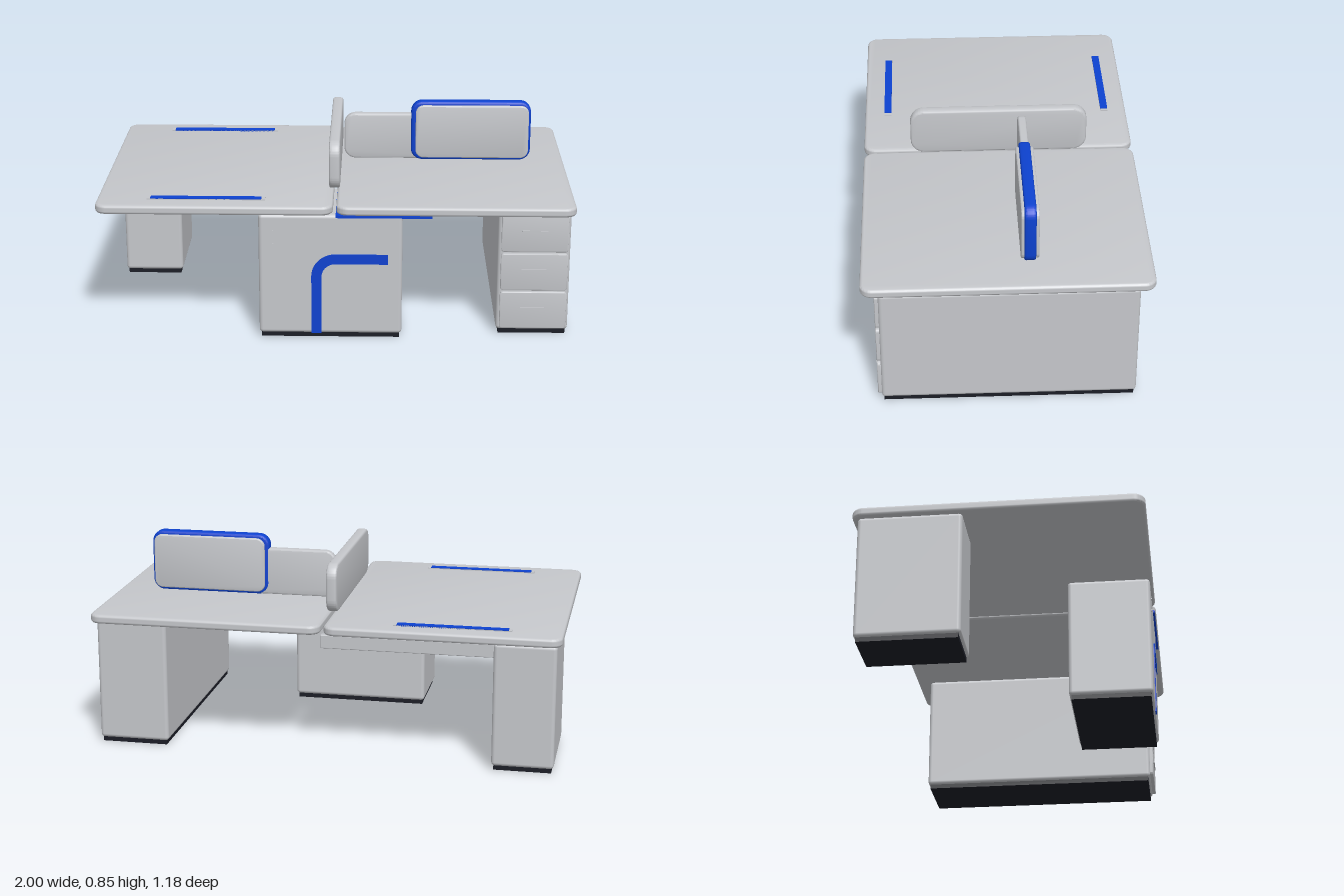
import * as THREE from 'three';
import { toCreasedNormals } from 'three/addons/utils/BufferGeometryUtils.js';
import { RoundedBoxGeometry } from 'three/addons/geometries/RoundedBoxGeometry.js';

export function createModel() {
  const desk = new THREE.Group();
  desk.name = 'twoPersonDesk';

  const material = (name, color) => {
    const m = new THREE.MeshStandardMaterial({ color });
    m.name = name;
    return m;
  };
  const gray = material('lightGray', 0xc5c7cb);
  const blue = material('accentBlue', 0x0d42d0);
  const dark = material('plinthDark', 0x1b1d26);

  const add = (name, geometry, mat) => {
    const mesh = new THREE.Mesh(geometry, mat);
    mesh.name = name;
    desk.add(mesh);
    return mesh;
  };

  // Boxes are given by their ranges in x, y and z; r rounds the edges
  const box = (name, [x0, x1], [y0, y1], [z0, z1], mat, r = 0) => {
    const size = [x1 - x0, y1 - y0, z1 - z0];
    const g = r ? new RoundedBoxGeometry(...size, 3, r) : new THREE.BoxGeometry(...size);
    g.translate((x0 + x1) / 2, (y0 + y1) / 2, (z0 + z1) / 2);
    return add(name, g, mat);
  };

  // Rounded rectangle in the xy plane, extruded along z with a soft edge
  const slabGeometry = (w, h, depth, radius, bevel) => {
    const a = w / 2 - bevel, b = h / 2 - bevel, r = radius - bevel;
    const s = new THREE.Shape();
    s.absarc(a - r, b - r, r, 0, Math.PI / 2);
    s.absarc(-a + r, b - r, r, Math.PI / 2, Math.PI);
    s.absarc(-a + r, -b + r, r, Math.PI, Math.PI * 1.5);
    s.absarc(a - r, -b + r, r, Math.PI * 1.5, Math.PI * 2);
    s.closePath();
    const g = new THREE.ExtrudeGeometry(s, {
      depth: depth - 2 * bevel, bevelEnabled: true, bevelSize: bevel,
      bevelThickness: bevel, bevelSegments: 3, curveSegments: 8,
    });
    g.translate(0, 0, bevel - depth / 2);
    return toCreasedNormals(g, 0.6);
  };

  // Table tops
  for (const [name, x0, x1] of [['rightTableTop', -1, -0.01], ['leftTableTop', 0.004, 1]]) {
    const g = slabGeometry(x1 - x0, 1.184, 0.038, 0.05, 0.012);
    g.rotateX(-Math.PI / 2).translate((x0 + x1) / 2, 0.566, 0);
    add(name, g, gray);
  }

  // Cable slots on one top
  for (const z of [-0.494, 0.49]) {
    box('cableSlotFrame', [-0.79, -0.295], [0.58, 0.589], [z - 0.016, z + 0.016], gray);
    box('cableSlotStrip', [-0.775, -0.31], [0.584, 0.592], [z - 0.016, z + 0.016], blue);
  }

  // Pedestals with recessed plinths
  const pedestals = [
    ['rightLeg', [-0.98, -0.72], [-0.567, -0.14]],
    ['cabinet', [-0.32, 0.28], [0.225, 0.58]],
    ['drawerPedestal', [0.68, 0.984], [-0.53, 0.522]],
  ];
  for (const [name, x, z] of pedestals) {
    const inset = ([a, b]) => [a + 0.01, b - 0.01];
    box(name, x, [0.018, 0.548], z, gray, 0.016);
    box(name + 'Plinth', inset(x), [0, 0.022], inset(z), dark);
  }

  // Drawers with slim handles
  for (const [y0, y1] of [[0.03, 0.195], [0.203, 0.367], [0.375, 0.537]]) {
    const y = (y0 + y1) / 2 + 0.012;
    const g = slabGeometry(0.28, y1 - y0, 0.018, 0.012, 0.004);
    g.translate(0.834, (y0 + y1) / 2, 0.528);
    add('drawerFront', g, gray);
    box('drawerHandle', [0.78, 0.886], [y - 0.003, y + 0.003], [0.534, 0.542], gray);
  }

  // Curved stripe on the cabinet door
  const stripe = new THREE.Shape();
  stripe.moveTo(-0.1, 0.02);
  stripe.lineTo(-0.057, 0.02);
  stripe.lineTo(-0.057, 0.275);
  stripe.absarc(0, 0.275, 0.057, Math.PI, Math.PI / 2, true);
  stripe.lineTo(0.22, 0.332);
  stripe.lineTo(0.22, 0.375);
  stripe.lineTo(0, 0.375);
  stripe.absarc(0, 0.275, 0.1, Math.PI / 2, Math.PI, false);
  stripe.closePath();
  const stripeGeometry = new THREE.ExtrudeGeometry(stripe, { depth: 0.006, bevelEnabled: false, curveSegments: 16 });
  add('doorStripe', stripeGeometry.translate(0, 0, 0.578), blue);

  // Door studs
  for (const y of [0.42, 0.475]) {
    const stud = new THREE.CylinderGeometry(0.004, 0.004, 0.008, 12);
    add('doorStud', stud.rotateX(Math.PI / 2).translate(-0.26, y, 0.581), gray);
  }

  // Blue spacer on the cabinet and rear rail
  box('cabinetSpacer', [0.002, 0.402], [0.538, 0.549], [0.225, 0.588], blue);
  box('rearRail', [-0.722, 0.005], [0.483, 0.541], [-0.552, -0.525], gray, 0.004);

  // Screens
  const longScreen = slabGeometry(0.77, 0.21, 0.046, 0.06, 0.01);
  add('centerScreen', longScreen.rotateY(Math.PI / 2).translate(-0.008, 0.69, 0), gray);
  const crossScreen = slabGeometry(0.555, 0.207, 0.036, 0.05, 0.008);
  add('crossScreen', crossScreen.translate(0.303, 0.689, -0.098), gray);

  // Blue framed board with gray faces on both sides
  const board = slabGeometry(0.53, 0.268, 0.048, 0.05, 0.01);
  add('boardFrame', board.translate(0.587, 0.718, -0.093), blue);
  const faces = slabGeometry(0.5, 0.24, 0.074, 0.036, 0.005);
  add('boardFaces', faces.translate(0.592, 0.716, -0.093), gray);

  return desk;
}
